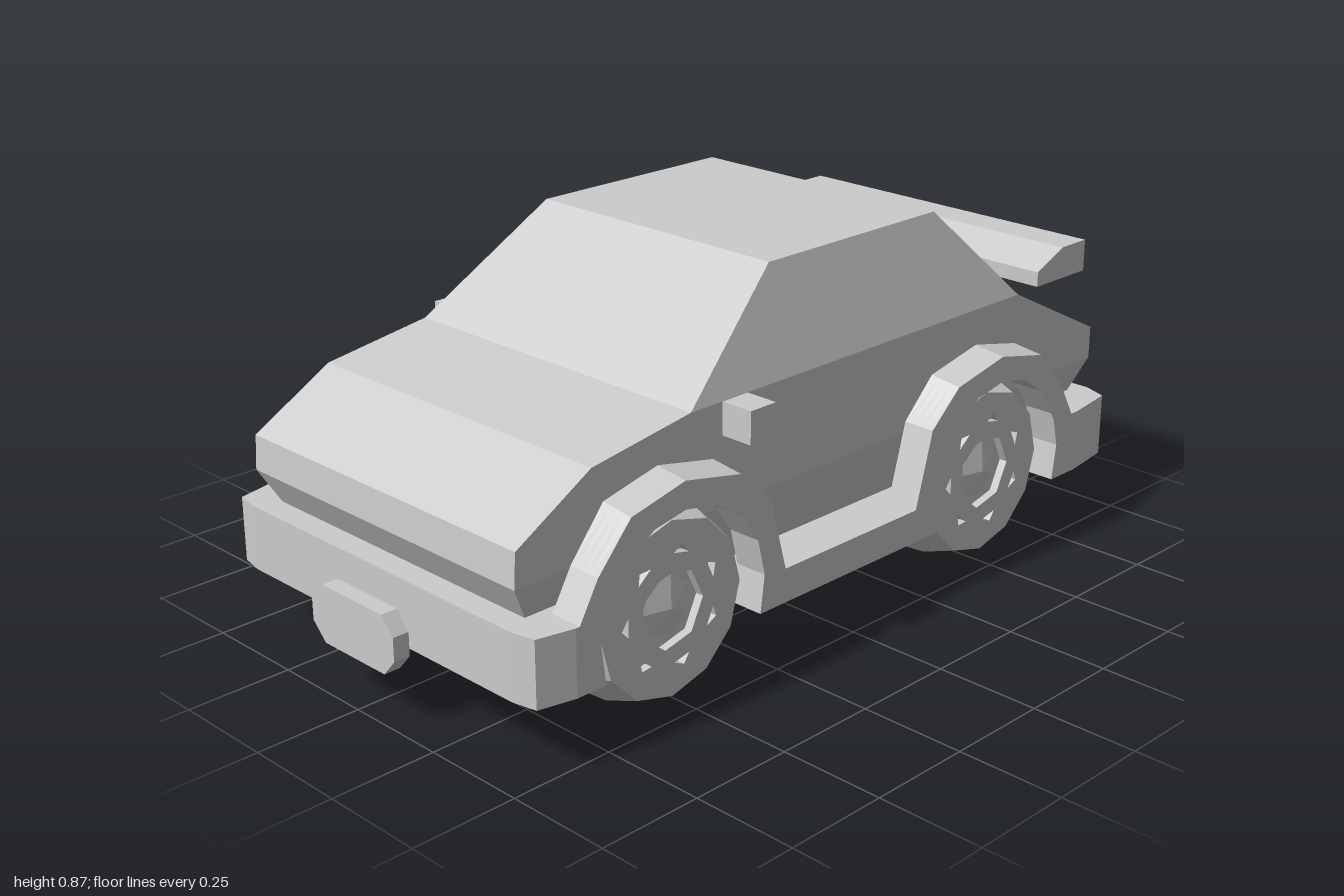
import * as THREE from 'three';
import { ConvexGeometry } from 'three/addons/geometries/ConvexGeometry.js';

const grey = new THREE.MeshStandardMaterial({ color: 0xcccccc, flatShading: true });

export function createModel() {
  const car = new THREE.Group();
  car.name = 'car';

  const add = (name, geometry, x = 0, y = 0, z = 0) => {
    const mesh = new THREE.Mesh(geometry, grey);
    mesh.name = name;
    mesh.position.set(x, y, z);
    car.add(mesh);
    return mesh;
  };

  const box = (name, w, h, d, x, y, z) => add(name, new THREE.BoxGeometry(w, h, d), x, y, z);

  // Convex solid from [half width, y, z] points mirrored across x
  const hull = (points) => new ConvexGeometry(points.flatMap(([x, y, z]) =>
    [new THREE.Vector3(x, y, z), new THREE.Vector3(-x, y, z)]));

  // Side profile of [z, y] points extruded along x, from x0 to x1
  const sideExtrude = (profile, x0, x1, steps = 1) => {
    const shape = new THREE.Shape(profile.map(([z, y]) => new THREE.Vector2(-z, y)));
    return new THREE.ExtrudeGeometry(shape, { depth: x1 - x0, steps, bevelEnabled: false })
      .rotateY(Math.PI / 2).translate(x0, 0, 0);
  };

  // Mirror a non-indexed geometry across x, keeping faces outward
  const mirrorX = (geometry) => {
    const g = geometry.clone().scale(-1, 1, 1);
    const p = g.attributes.position;
    const a = new THREE.Vector3(), b = new THREE.Vector3();
    for (let i = 0; i < p.count; i += 3) {
      a.fromBufferAttribute(p, i + 1);
      b.fromBufferAttribute(p, i + 2);
      p.setXYZ(i + 1, b.x, b.y, b.z);
      p.setXYZ(i + 2, a.x, a.y, a.z);
    }
    g.computeVertexNormals();
    return g;
  };

  // Body shell and cabin
  add('body', hull([
    [0.383, 0.24, 0.84], [0.43, 0.395, 0.925], [0.43, 0.475, 0.92], [0.43, 0.59, 0.72],
    [0.43, 0.63, 0.445], [0.43, 0.63, -0.65], [0.43, 0.475, -0.96], [0.43, 0.395, -0.96],
    [0.383, 0.24, -0.87],
  ]));
  add('cabin', hull([
    [0.43, 0.63, 0.445], [0.353, 0.865, 0.135], [0.353, 0.865, -0.415], [0.43, 0.63, -0.65],
  ]));

  // Floor with raised bumpers at both ends
  add('chassis', sideExtrude([
    [0.94, 0.16], [0.94, 0.313], [0.8, 0.313], [0.8, 0.24],
    [-0.8, 0.24], [-0.8, 0.313], [-0.965, 0.313], [-0.965, 0.16],
  ], -0.43, 0.43));

  // Side skirts: bumper ends, flared arches and sills in one profile
  const wheelY = 0.235, axles = [0.54, -0.495];
  const outerArch = [[0.29, 0.078], [0.24, 0.165], [0.15, 0.275], [0, 0.308],
    [-0.16, 0.275], [-0.25, 0.185], [-0.3, 0.005]];
  const skirt = [[0.94, 0.16], [0.94, 0.313]];
  axles.forEach((az, i) => {
    const arch = i ? outerArch.map(([z, y]) => [-z, y]).reverse() : outerArch;
    arch.forEach(([z, y]) => skirt.push([az + z, wheelY + y]));
  });
  skirt.push([-0.965, 0.313], [-0.965, 0.16]);
  [...axles].reverse().forEach((az) => {
    const start = Math.asin(0.075 / 0.235);
    for (let i = 0; i <= 10; i++) {
      const t = Math.PI + start - (i / 10) * (Math.PI + 2 * start);
      skirt.push([az + 0.235 * Math.cos(t), wheelY + 0.235 * Math.sin(t)]);
    }
  });
  const skirtGeometry = sideExtrude(skirt, 0.43, 0.51, 4);
  const sp = skirtGeometry.attributes.position;
  for (let i = 0; i < sp.count; i++) {
    // Round the bumper corners and ease the flare down at its outer edge
    const out = (sp.getX(i) - 0.43) / 0.08;
    const front = out > 0.9 ? 0.84 : 0.94 - out * 0.015;
    const back = out > 0.9 ? -0.81 : -0.965 + out * 0.03;
    sp.setZ(i, THREE.MathUtils.clamp(sp.getZ(i), back, front));
    if (sp.getY(i) > 0.5) sp.setY(i, sp.getY(i) - out * 0.01);
  }
  skirtGeometry.computeVertexNormals();
  add('leftSkirt', skirtGeometry);
  add('rightSkirt', mirrorX(skirtGeometry));

  // Wheel pieces, laid out along +x
  const lathe = (points) => new THREE.LatheGeometry(
    points.map(([x, r]) => new THREE.Vector2(r, x)), 12).rotateZ(-Math.PI / 2);
  const tyre = lathe([[-0.135, 0], [-0.135, 0.195], [-0.065, 0.235], [0.055, 0.228],
    [0.135, 0.2], [0.115, 0.19], [0.115, 0]]);

  const ring = (r, n, Type) => {
    const pts = [];
    for (let i = 0; i < n; i++) {
      const t = (i / n) * Math.PI * 2;
      pts.push(new THREE.Vector2(r * Math.cos(t), r * Math.sin(t)));
    }
    return new Type(pts);
  };
  const rimShape = ring(0.2, 12, THREE.Shape);
  rimShape.holes.push(ring(0.09, 7, THREE.Path));
  for (let i = 0; i < 7; i++) {
    const t = ((i + 0.5) / 7) * Math.PI * 2;
    const at = (r, d) => new THREE.Vector2(r * Math.cos(t + d), r * Math.sin(t + d));
    rimShape.holes.push(new THREE.Path([at(0.125, -0.18), at(0.142, 0.02), at(0.125, 0.18)]));
  }
  const rim = new THREE.ExtrudeGeometry(rimShape, { depth: 0.02, bevelEnabled: false })
    .rotateY(Math.PI / 2).translate(0.115, 0, 0);
  const hub = new THREE.ConeGeometry(0.07, 0.018, 7).rotateZ(-Math.PI / 2).translate(0.124, 0, 0);

  axles.forEach((z, i) => {
    for (const side of [1, -1]) {
      const wheel = new THREE.Group();
      wheel.name = (i ? 'rear' : 'front') + (side > 0 ? 'Left' : 'Right') + 'Wheel';
      for (const [name, g] of [['tyre', tyre], ['rim', rim], ['hub', hub]]) {
        const mesh = new THREE.Mesh(g, grey);
        mesh.name = name;
        wheel.add(mesh);
      }
      wheel.position.set(side * 0.335, wheelY, z);
      if (side < 0) wheel.rotation.y = Math.PI;
      car.add(wheel);
    }
  });

  // Wing mirrors and spoiler struts
  for (const side of [1, -1]) {
    const label = side > 0 ? 'left' : 'right';
    box(label + 'Mirror', 0.085, 0.075, 0.075, side * 0.4675, 0.592, 0.315);
    box(label + 'SpoilerStrut', 0.075, 0.15, 0.09, side * 0.17, 0.565, -0.818);
  }

  // Spoiler blade
  add('spoiler', sideExtrude([
    [-0.725, 0.632], [-0.725, 0.668], [-0.82, 0.71], [-0.912, 0.71], [-0.912, 0.632],
  ], -0.43, 0.43));

  // Number plates, blank with clipped corners
  const plate = new THREE.ExtrudeGeometry(new THREE.Shape([
    [-0.1, 0.12], [0.1, 0.12], [0.135, 0.16], [0.135, 0.215],
    [0.1, 0.255], [-0.1, 0.255], [-0.14, 0.215], [-0.14, 0.16],
  ].map(([x, y]) => new THREE.Vector2(x, y))), { depth: 0.04, bevelEnabled: false });
  add('frontPlate', plate, 0, 0, 0.96);
  add('rearPlate', plate, 0, 0, -1);

  return car;
}
